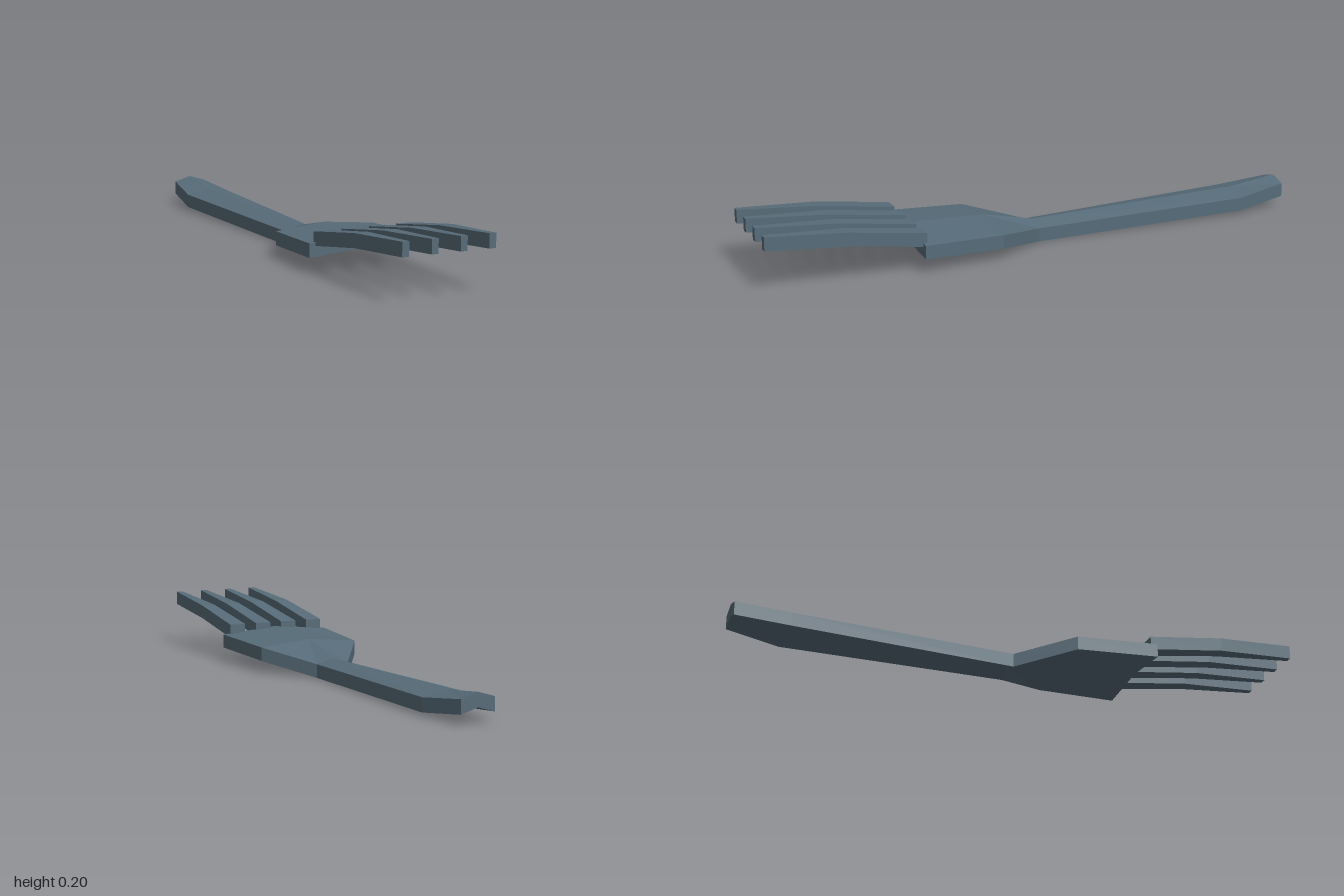
import * as THREE from 'three';

const THICK = 0.048;

// Lofts a six-point section (flat sides, optional raised centre ridge) along z.
// Each section is [z, halfWidth, edge bottom y]
function loft(sections, ridge) {
  const rings = sections.map(([z, w, y]) => [
    [-w, y, z], [0, y + ridge, z], [w, y, z],
    [w, y + THICK, z], [0, y + ridge + THICK, z], [-w, y + THICK, z],
  ]);
  const pos = [];
  const quad = (a, b, c, d) => [a, b, c, a, c, d].forEach((p) => pos.push(...p));

  for (let i = 0; i < rings.length - 1; i++) {
    const a = rings[i], b = rings[i + 1];
    for (let j = 0; j < 6; j++) {
      const k = (j + 1) % 6;
      // mirror the quad diagonals about the centre line
      if (j === 0 || j === 4) quad(a[k], b[k], b[j], a[j]);
      else quad(a[j], a[k], b[k], b[j]);
    }
  }
  // end caps, each split along the centre line
  const f = rings[rings.length - 1], r = rings[0];
  quad(f[0], f[1], f[4], f[5]);
  quad(f[1], f[2], f[3], f[4]);
  quad(r[5], r[4], r[1], r[0]);
  quad(r[4], r[3], r[2], r[1]);

  const geo = new THREE.BufferGeometry();
  geo.setAttribute('position', new THREE.Float32BufferAttribute(pos, 3));
  geo.computeVertexNormals();
  return geo;
}

export function createModel() {
  const group = new THREE.Group();
  group.name = 'fork';
  const steel = new THREE.MeshStandardMaterial({ color: 0x566b78, flatShading: true });
  steel.name = 'blue grey steel';

  // handle, neck and head share one ridged loft
  const body = new THREE.Mesh(loft([
    [-1, 0.06, 0.035],
    [-0.81, 0.088, 0.013],
    [-0.02, 0.06, 0.001],
    [0.17, 0.185, 0.043],
    [0.46, 0.204, 0.053],
  ], 0.018), steel);
  body.name = 'handleAndHead';
  group.add(body);

  // four curved, tapering tines
  const tineGeo = loft([
    [0.445, 0.029, 0.089],
    [0.72, 0.025, 0.129],
    [1, 0.012, 0.149],
  ], 0);
  for (let i = 0; i < 4; i++) {
    const tine = new THREE.Mesh(tineGeo, steel);
    tine.name = 'tine' + (i + 1);
    tine.position.x = (i - 1.5) * 0.102;
    group.add(tine);
  }
  return group;
}
